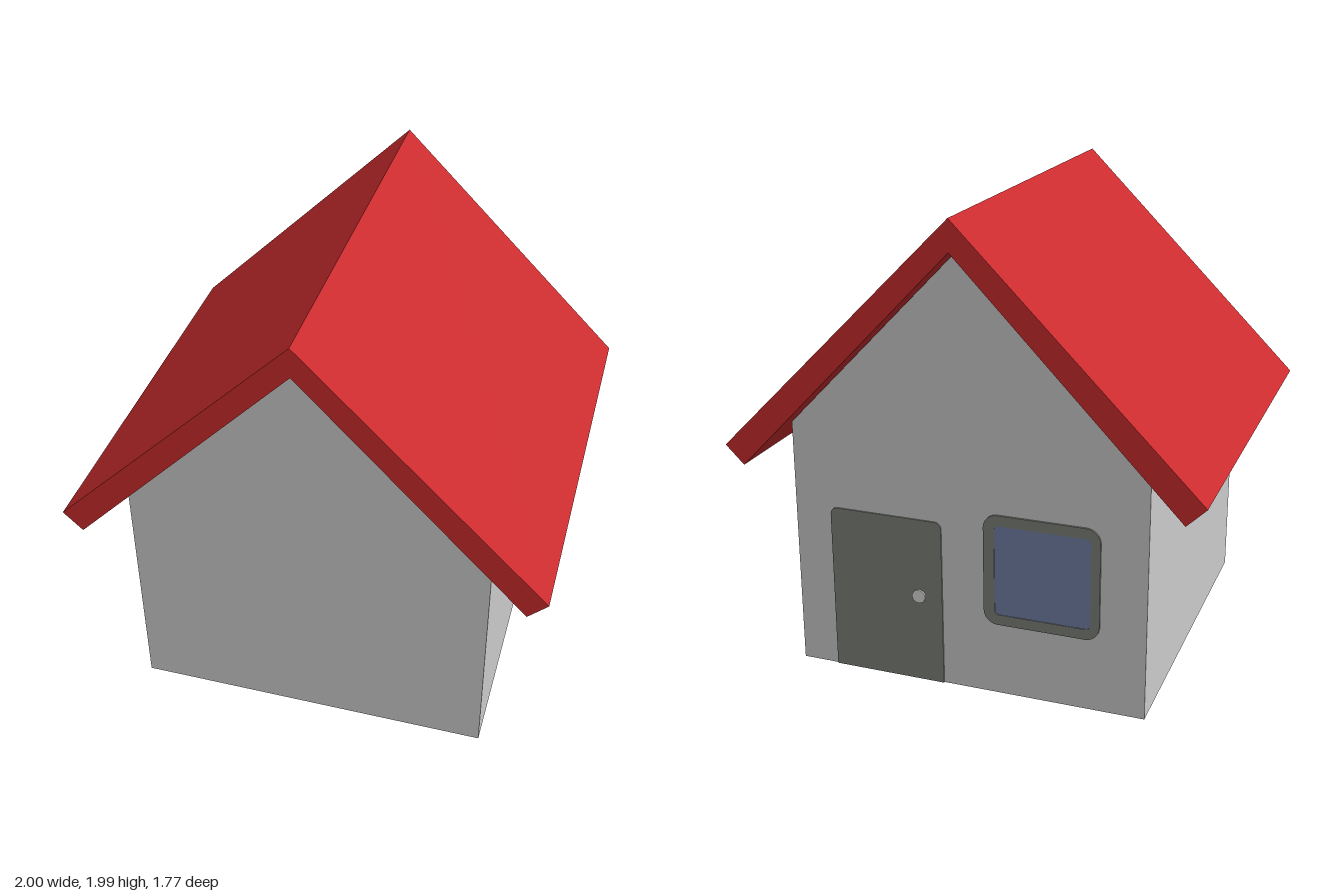
import * as THREE from 'three';

const paint = (name, color) => {
  const m = new THREE.MeshStandardMaterial({ color });
  m.name = name;
  return m;
};

// Rectangle with optional rounded bottom and top corners
function roundedRect(path, x0, y0, x1, y1, rBottom, rTop) {
  path.moveTo(x0 + rBottom, y0);
  path.lineTo(x1 - rBottom, y0);
  if (rBottom) path.absarc(x1 - rBottom, y0 + rBottom, rBottom, -Math.PI / 2, 0);
  path.lineTo(x1, y1 - rTop);
  path.absarc(x1 - rTop, y1 - rTop, rTop, 0, Math.PI / 2);
  path.lineTo(x0 + rTop, y1);
  path.absarc(x0 + rTop, y1 - rTop, rTop, Math.PI / 2, Math.PI);
  path.lineTo(x0, y0 + rBottom);
  if (rBottom) path.absarc(x0 + rBottom, y0 + rBottom, rBottom, Math.PI, Math.PI * 1.5);
  return path;
}

const polygon = (pts) => new THREE.Shape(pts.map(([x, y]) => new THREE.Vector2(x, y)));

function extrude(name, shape, depth, z, material) {
  const geo = new THREE.ExtrudeGeometry(shape, { depth, bevelEnabled: false, curveSegments: 8 });
  const mesh = new THREE.Mesh(geo, material);
  mesh.name = name;
  mesh.position.z = z;
  return mesh;
}

export function createModel() {
  const wallGrey = paint('wall grey', 0xcbcbcb);
  const roofRed = paint('roof red', 0xca2b2d);
  const trimGrey = paint('trim grey', 0x7c7f79);
  const glassBlue = paint('glass blue', 0x717fa4);
  const knobSilver = paint('knob silver', 0xd6d8d6);

  const house = new THREE.Group();
  house.name = 'house';

  // Gabled walls
  const walls = polygon([[-0.757, 0], [0.757, 0], [0.757, 1.078], [0, 1.86], [-0.757, 1.078]]);
  house.add(extrude('walls', walls, 1.53, -0.765, wallGrey));

  // Pitched roof with overhanging eaves
  const roof = polygon([[0, 1.99], [-1, 0.99], [-0.92, 0.912], [0, 1.862], [0.92, 0.912], [1, 0.99]]);
  house.add(extrude('roof', roof, 1.77, -0.885, roofRed));

  // Door and window on the back wall, drawn as seen from behind
  const back = new THREE.Group();
  back.name = 'backWallDetails';
  back.rotation.y = Math.PI;
  house.add(back);

  const door = roundedRect(new THREE.Shape(), -0.597, 0, -0.105, 0.725, 0, 0.03);
  back.add(extrude('door', door, 0.006, 0.765, trimGrey));

  const knob = new THREE.Mesh(new THREE.CylinderGeometry(0.029, 0.029, 0.008, 20), knobSilver);
  knob.name = 'doorKnob';
  knob.rotation.x = Math.PI / 2;
  knob.position.set(-0.207, 0.385, 0.775);
  back.add(knob);

  const frame = roundedRect(new THREE.Shape(), 0.078, 0.315, 0.566, 0.795, 0.06, 0.06);
  frame.holes.push(roundedRect(new THREE.Path(), 0.125, 0.36, 0.528, 0.75, 0.02, 0.02));
  back.add(extrude('windowFrame', frame, 0.008, 0.765, trimGrey));

  const pane = roundedRect(new THREE.Shape(), 0.125, 0.36, 0.528, 0.75, 0.02, 0.02);
  back.add(extrude('windowPane', pane, 0.005, 0.765, glassBlue));

  return house;
}
